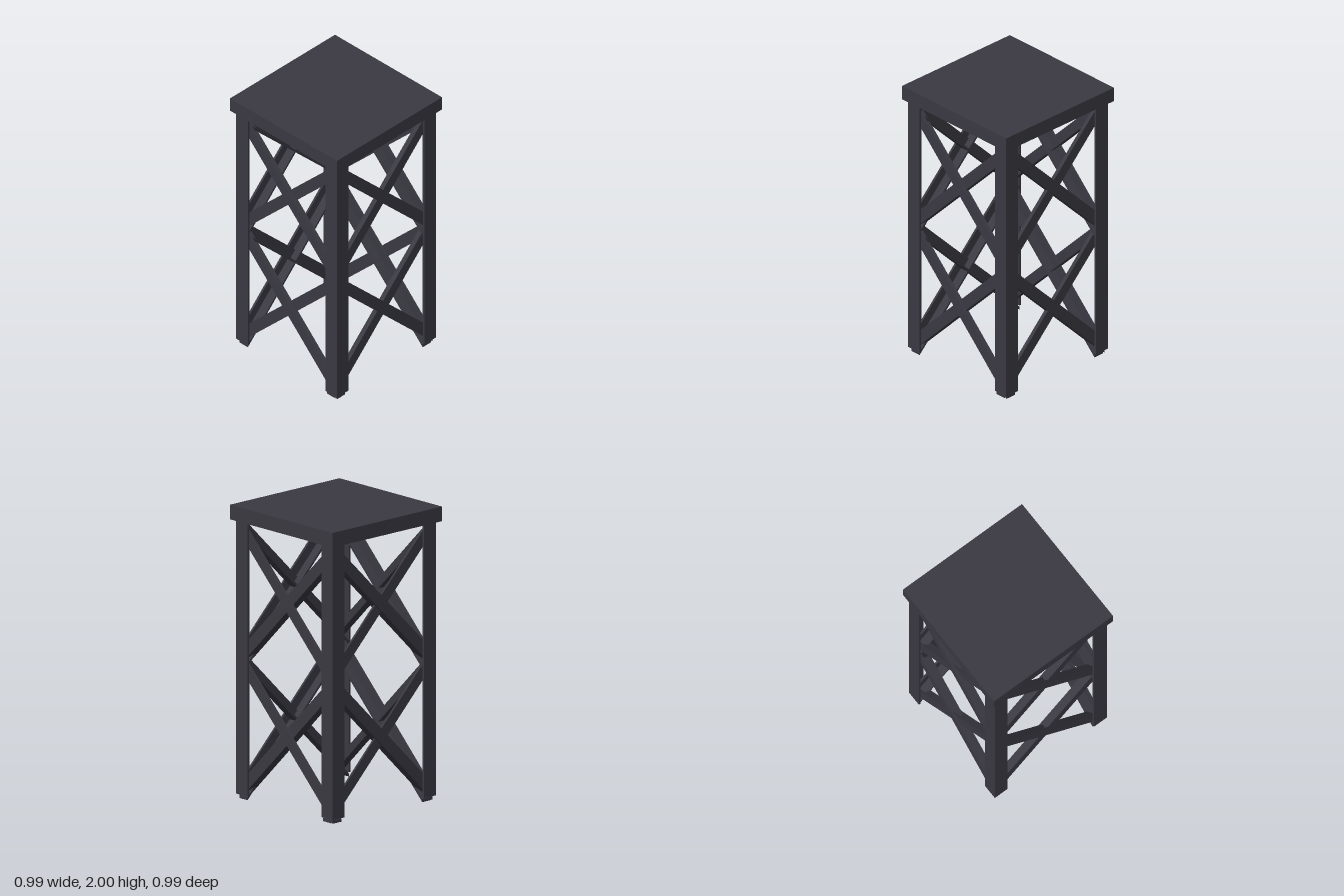
import * as THREE from 'three';

const T = 0.015;      // steel thickness
const OUT = 0.465;    // outer face of the legs
const LEG = 0.107;    // leg flange width
const BRACE = 0.078;  // brace flange width

const steel = new THREE.MeshStandardMaterial({ color: 0x3a3942, flatShading: true });

function addMesh(parent, geometry, name) {
  const mesh = new THREE.Mesh(geometry, steel);
  mesh.name = name;
  parent.add(mesh);
  return mesh;
}

const extrude = (points, depth) => new THREE.ExtrudeGeometry(
  new THREE.Shape(points.map(([x, y]) => new THREE.Vector2(x, y))),
  { depth, bevelEnabled: false });

// Slanted bar cut vertically at both ends, between y offsets lo and hi from its centre line
function bar(slope, lo, hi, zFront, depth) {
  const h = OUT - T;
  const g = extrude([[-h, -h * slope + lo], [h, h * slope + lo], [h, h * slope + hi], [-h, -h * slope + hi]], depth);
  return g.translate(0, 0, zFront - depth);
}

// Angle-section brace: a flat web and an inward flange along its lower edge
function addBrace(parent, slope, y, zFront) {
  const brace = new THREE.Group();
  brace.name = slope < 0 ? 'fallingBrace' : 'risingBrace';
  const half = BRACE * Math.SQRT1_2;
  addMesh(brace, bar(slope, -half, half, zFront, T), 'braceWeb');
  addMesh(brace, bar(slope, -half, -half + T * Math.SQRT2, zFront - T, BRACE - T), 'braceFlange');
  brace.position.y = y;
  parent.add(brace);
}

export function createModel() {
  const model = new THREE.Group();
  model.name = 'tower';

  // Platform on top
  addMesh(model, new THREE.BoxGeometry(0.988, 0.1, 0.988), 'platform').position.y = 1.95;

  // L-section, corner on the outside, extruded upwards
  const a = OUT, b = OUT - T, c = OUT - LEG;
  const legGeometry = extrude([[a, a], [c, a], [c, b], [b, b], [b, c], [a, c]], 1.87);
  legGeometry.rotateX(-Math.PI / 2).translate(0, 0.03, 0);

  // Four equal sides, each with one leg and two crossed brace pairs
  for (let i = 0; i < 4; i++) {
    const side = new THREE.Group();
    side.name = ['front', 'left', 'back', 'right'][i] + 'Side';
    side.rotation.y = i * Math.PI / 2;
    addMesh(side, legGeometry, 'leg');
    for (const y of [0.505, 1.415]) {
      addBrace(side, -1, y, OUT - T);
      addBrace(side, 1, y, OUT - 2 * T);
    }
    model.add(side);
  }
  return model;
}
